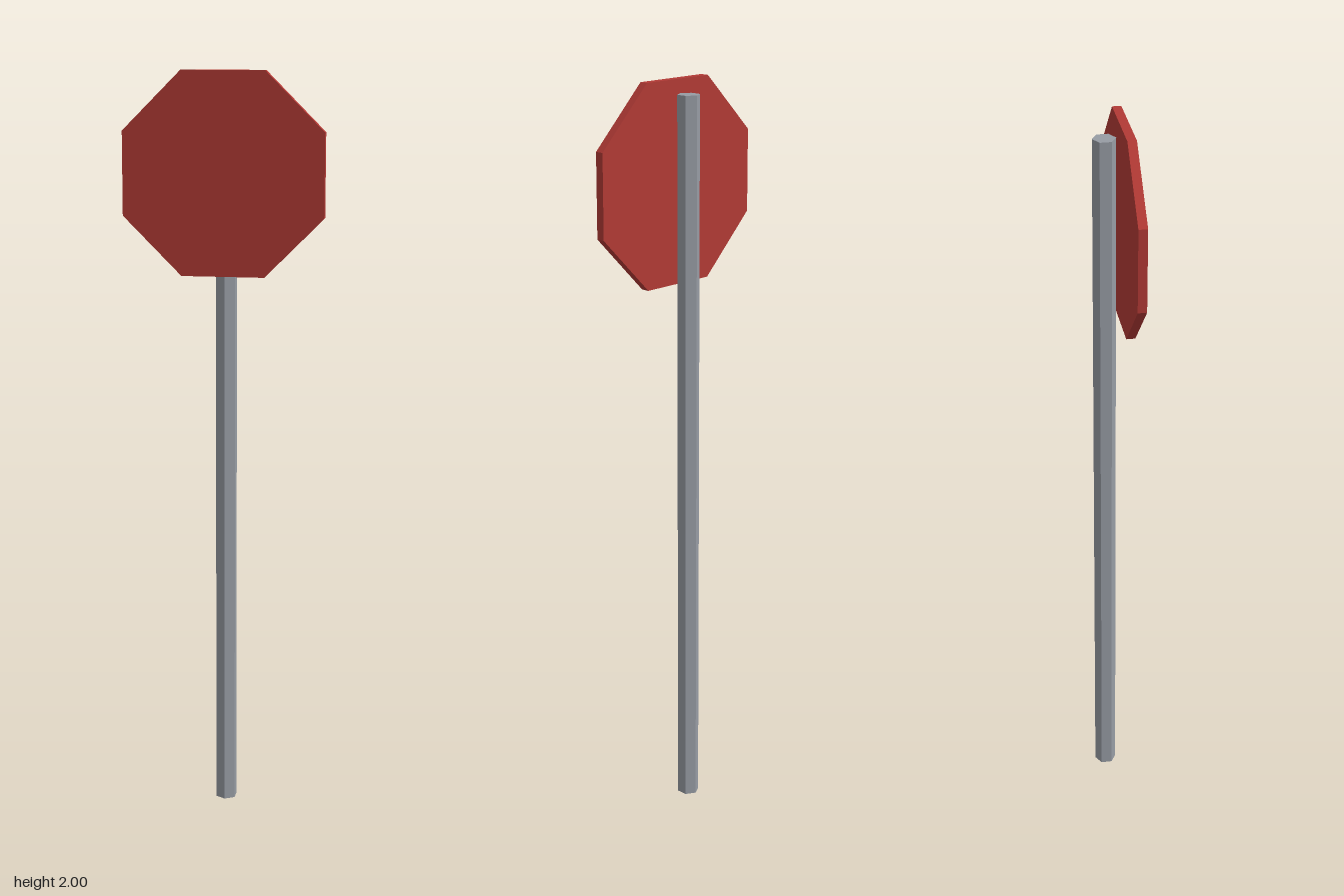
import * as THREE from 'three';

export function createModel() {
  const model = new THREE.Group();
  model.name = 'roadSign';

  const red = new THREE.MeshStandardMaterial({ color: 0xb23a35, flatShading: true });
  red.name = 'signRed';
  const grey = new THREE.MeshStandardMaterial({ color: 0x979ca4, flatShading: true });
  grey.name = 'poleGrey';

  // Hexagonal pole, one edge facing forward
  const poleHeight = 1.965;
  const pole = new THREE.Mesh(new THREE.CylinderGeometry(0.0297, 0.0297, poleHeight, 6), grey);
  pole.name = 'pole';
  pole.position.set(0, poleHeight / 2, -0.0165);
  model.add(pole);

  // Octagonal plate with a flat top, standing just ahead of the pole
  const apothem = 0.264;
  const radius = apothem / Math.cos(Math.PI / 8);
  const plateGeometry = new THREE.CylinderGeometry(radius, radius, 0.023, 8);
  plateGeometry.rotateY(Math.PI / 8).rotateX(Math.PI / 2);
  const plate = new THREE.Mesh(plateGeometry, red);
  plate.name = 'signPlate';
  plate.position.set(0, 2 - apothem, 0.0325);
  model.add(plate);

  return model;
}
